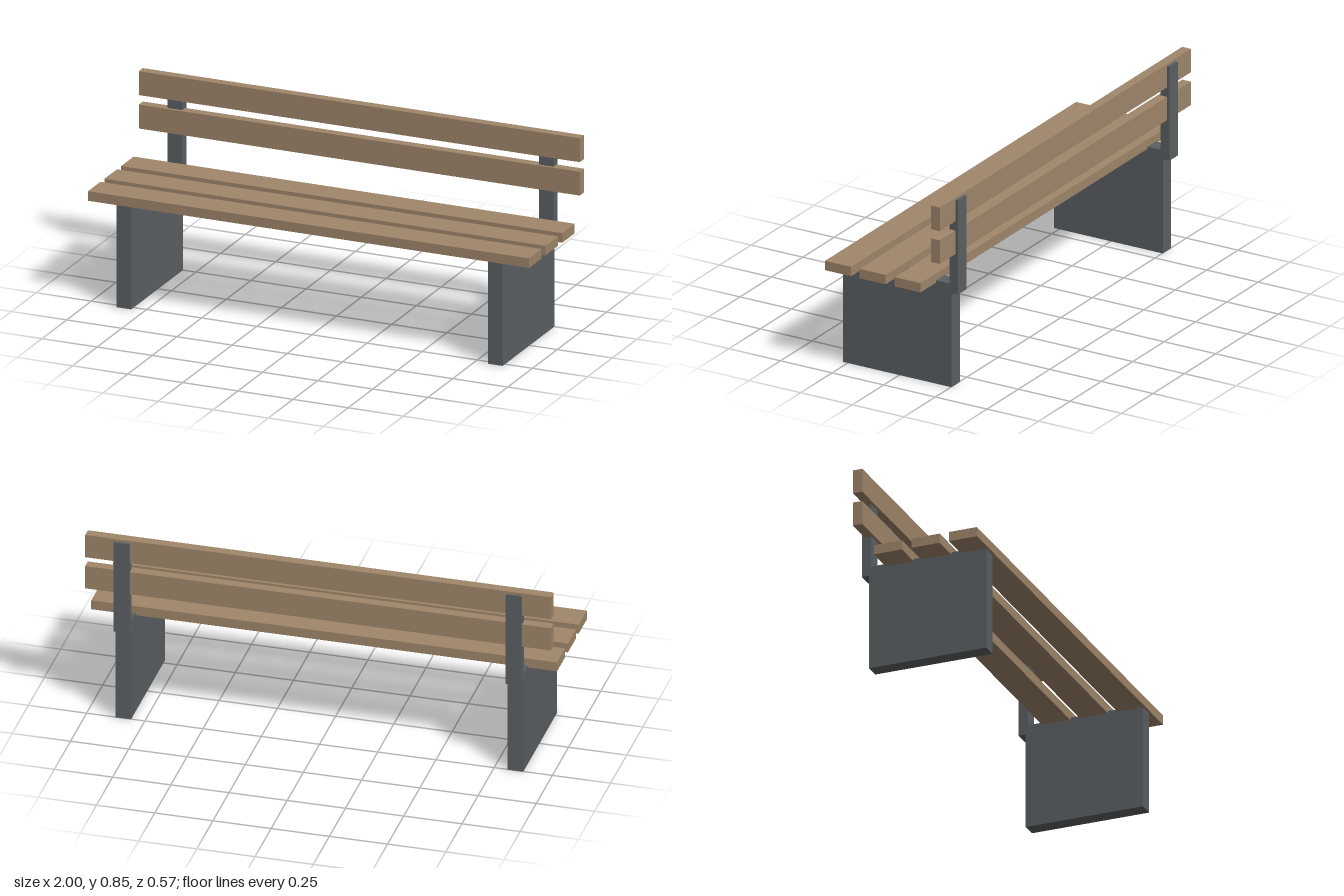
import * as THREE from 'three';

const wood = new THREE.MeshStandardMaterial({ color: 0xa0876b });
const metal = new THREE.MeshStandardMaterial({ color: 0x5b6063 });

// Box given by its x centre and width, and its y and z ranges
function block(name, material, x, width, [y0, y1], [z0, z1]) {
  const mesh = new THREE.Mesh(new THREE.BoxGeometry(width, y1 - y0, z1 - z0), material);
  mesh.name = name;
  mesh.position.set(x, (y0 + y1) / 2, (z0 + z1) / 2);
  return mesh;
}

export function createModel() {
  const bench = new THREE.Group();
  bench.name = 'bench';

  // Solid end supports with back posts
  for (const [side, s] of [['left', 1], ['right', -1]]) {
    bench.add(
      block(side + 'Leg', metal, s * 0.842, 0.067, [0, 0.463], [-0.252, 0.274]),
      block(side + 'BackPost', metal, s * 0.842, 0.067, [0.422, 0.843], [-0.284, -0.242])
    );
  }

  // Seat slats, front to back
  [0.221, 0.054, -0.115].forEach((z, i) => {
    bench.add(block('seatSlat' + (i + 1), wood, 0, 2, [0.453, 0.495], [z - 0.063, z + 0.063]));
  });

  // Backrest slats, lower then upper
  [0.654, 0.801].forEach((y, i) => {
    bench.add(block('backSlat' + (i + 1), wood, 0, 2, [y - 0.0525, y + 0.0525], [-0.272, -0.23]));
  });

  return bench;
}
